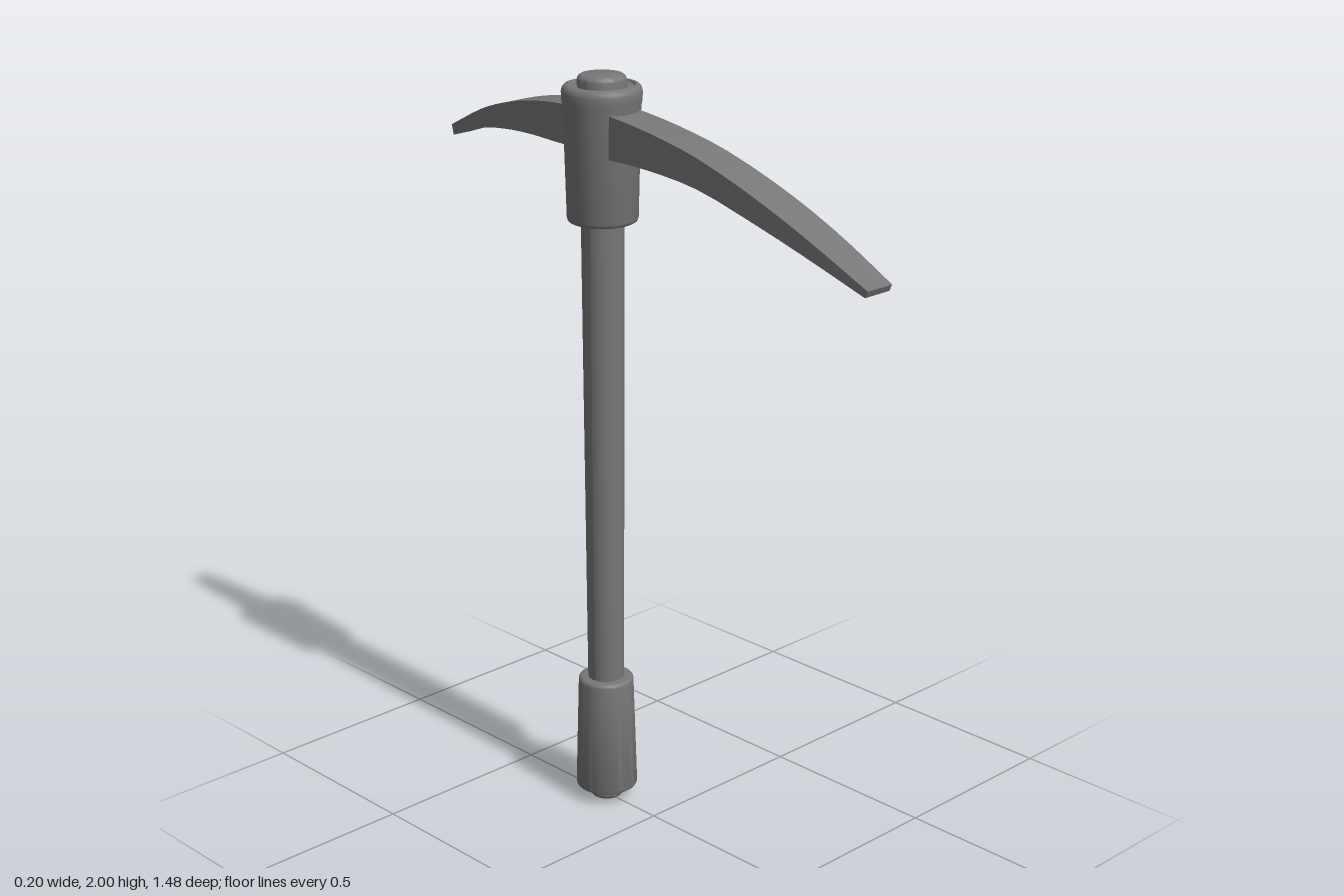
import * as THREE from 'three';
import { toCreasedNormals } from 'three/addons/utils/BufferGeometryUtils.js';

const AXIS_Z = -0.185;
const material = new THREE.MeshStandardMaterial({ color: 0x777777 });

// Solid of revolution on the shaft axis, from [radius, y] points, bottom to top
function turned(name, profile) {
  const points = profile.map(([r, y]) => new THREE.Vector2(r, y));
  const geometry = toCreasedNormals(new THREE.LatheGeometry(points, 48), 0.75);
  const mesh = new THREE.Mesh(geometry, material);
  mesh.name = name;
  mesh.position.z = AXIS_Z;
  return mesh;
}

// Capped, slightly rounded tapered cylinder
function roundedTaper(name, y0, y1, r0, r1, b) {
  const profile = [[0, y0]];
  for (let i = 0; i <= 4; i++) {
    const a = (i / 4) * Math.PI / 2;
    profile.push([r0 - b + b * Math.sin(a), y0 + b - b * Math.cos(a)]);
  }
  for (let i = 0; i <= 4; i++) {
    const a = (i / 4) * Math.PI / 2;
    profile.push([r1 - b + b * Math.cos(a), y1 - b + b * Math.sin(a)]);
  }
  profile.push([0, y1]);
  return turned(name, profile);
}

// Curved blade: rectangular sections [zTop, yTop, zBottom, yBottom, halfWidth]
function blade(name, sections, steps = 16) {
  const top = new THREE.CatmullRomCurve3(sections.map(s => new THREE.Vector3(s[4], s[1], s[0])));
  const bottom = new THREE.CatmullRomCurve3(sections.map(s => new THREE.Vector3(s[4], s[3], s[2])));
  const positions = [], index = [];
  for (let i = 0; i <= steps; i++) {
    const t = top.getPoint(i / steps), b = bottom.getPoint(i / steps);
    positions.push(-t.x, t.y, t.z, t.x, t.y, t.z, b.x, b.y, b.z, -b.x, b.y, b.z);
  }
  const forward = sections[sections.length - 1][0] > sections[0][0];
  const quad = (a, b, c, d) => index.push(...(forward ? [a, b, c, a, c, d] : [a, c, b, a, d, c]));
  for (let i = 0; i < steps; i++) {
    for (let k = 0; k < 4; k++) {
      const n = (k + 1) % 4, r = i * 4;
      quad(r + k, r + 4 + k, r + 4 + n, r + n);
    }
  }
  const e = steps * 4;
  quad(0, 1, 2, 3);
  quad(e + 3, e + 2, e + 1, e);
  const geometry = new THREE.BufferGeometry();
  geometry.setAttribute('position', new THREE.Float32BufferAttribute(positions, 3));
  geometry.setIndex(index);
  const mesh = new THREE.Mesh(toCreasedNormals(geometry, 0.5), material);
  mesh.name = name;
  return mesh;
}

export function createModel() {
  const group = new THREE.Group();
  group.name = 'pickaxe';

  // Handle with grip and end knobs
  group.add(turned('shaft', [[0, 0.3], [0.048, 0.3], [0.056, 1.7], [0, 1.7]]));
  group.add(roundedTaper('grip', 0.034, 0.36, 0.083, 0.074, 0.01));
  group.add(roundedTaper('buttKnob', 0, 0.08, 0.045, 0.045, 0.014));
  group.add(roundedTaper('topKnob', 1.92, 2, 0.062, 0.062, 0.014));

  // Tapered socket with a rounded collar at the top
  group.add(turned('headSocket', [
    [0, 1.625], [0.082, 1.625], [0.088, 1.628], [0.091, 1.636], [0.098, 1.92],
    [0.101, 1.935], [0.102, 1.956], [0.1, 1.966], [0.094, 1.973], [0.085, 1.975],
    [0.081, 1.969], [0, 1.969],
  ]));

  // Long front blade and short rear blade, both rooted inside the socket
  group.add(blade('frontBlade', [
    [-0.185, 1.92, -0.185, 1.8, 0.053],
    [-0.08, 1.911, -0.08, 1.804, 0.053],
    [0.05, 1.893, 0.05, 1.801, 0.053],
    [0.2, 1.862, 0.2, 1.786, 0.053],
    [0.4, 1.797, 0.39, 1.738, 0.053],
    [0.57, 1.727, 0.56, 1.687, 0.05],
    [0.74, 1.645, 0.732, 1.628, 0.042],
  ]));
  group.add(blade('rearBlade', [
    [-0.185, 1.917, -0.185, 1.815, 0.052],
    [-0.29, 1.917, -0.29, 1.816, 0.051],
    [-0.4, 1.906, -0.4, 1.819, 0.047],
    [-0.5, 1.885, -0.5, 1.815, 0.042],
    [-0.6, 1.853, -0.6, 1.801, 0.036],
    [-0.74, 1.786, -0.733, 1.759, 0.027],
  ]));
  return group;
}
